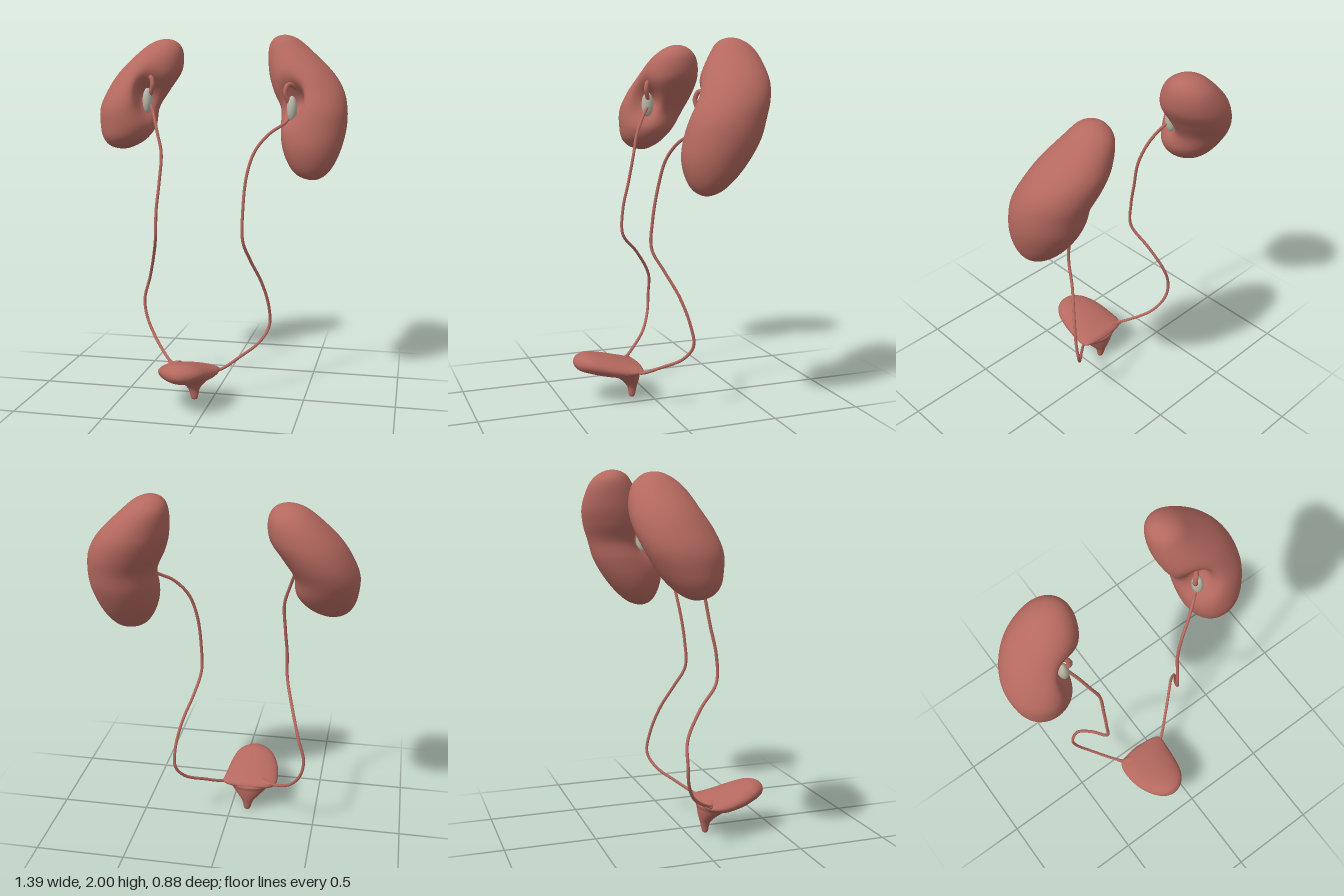
import * as THREE from 'three';
import { mergeVertices } from 'three/addons/utils/BufferGeometryUtils.js';

const flesh = new THREE.MeshStandardMaterial({ color: 0xb5695f });
const pale = new THREE.MeshStandardMaterial({ color: 0xb8b8a8 });

// Closed smooth skin through elliptical stations [s, x0, x1, b0, b1] rising along the axis.
// b is z for axis 'y' and y for axis 'z'; the first and last stations are poles.
function loft(stations, axis, deform, rings = 64, sides = 64) {
  const mid = stations.map(([s, x0, x1, b0, b1]) => new THREE.Vector3((x0 + x1) / 2, (b0 + b1) / 2, s));
  const rad = stations.map(([, x0, x1, b0, b1]) => new THREE.Vector3((x1 - x0) / 2, (b1 - b0) / 2, 0));
  // mirrored stations beyond both poles make the ends round
  const n = stations.length;
  const midCurve = new THREE.CatmullRomCurve3([mid[1], ...mid, mid[n - 2]], false, 'catmullrom');
  const radCurve = new THREE.CatmullRomCurve3(
    [rad[1].clone().negate(), ...rad, rad[n - 2].clone().negate()], false, 'catmullrom');
  const positions = [], index = [];
  const sign = axis === 'y' ? -1 : 1;
  for (let i = 0; i <= rings; i++) {
    const u = (1 + (i / rings) * (n - 1)) / (n + 1);
    const c = midCurve.getPoint(u), r = radCurve.getPoint(u);
    for (let j = 0; j < sides; j++) {
      const t = (j / sides) * Math.PI * 2;
      const x = c.x + r.x * Math.cos(t), b = c.y + sign * r.y * Math.sin(t);
      const p = axis === 'y' ? new THREE.Vector3(x, c.z, b) : new THREE.Vector3(x, b, c.z);
      if (deform) deform(p);
      positions.push(p.x, p.y, p.z);
      if (i < rings) {
        const k = (j + 1) % sides, a = i * sides, d = a + sides;
        index.push(a + j, a + k, d + j, a + k, d + k, d + j);
      }
    }
  }
  let geometry = new THREE.BufferGeometry();
  geometry.setAttribute('position', new THREE.Float32BufferAttribute(positions, 3));
  geometry.setIndex(index);
  geometry = mergeVertices(geometry, 1e-5);
  geometry.computeVertexNormals();
  return geometry;
}

// Pushes the surface inward around the hilum; side is +1 for the left kidney.
function hilumDent(center, side) {
  const inward = new THREE.Vector3(side, 0, -1).normalize();
  return (p) => {
    const dx = p.x - center[0], dy = p.y - center[1], dz = p.z - center[2];
    const f = Math.exp(-(dx * dx + dz * dz) / 0.0056 - (dy * dy) / 0.0095);
    p.addScaledVector(inward, 0.12 * f);
  };
}

function add(group, name, geometry, material = flesh) {
  const mesh = new THREE.Mesh(geometry, material);
  mesh.name = name;
  group.add(mesh);
  return mesh;
}

function tube(points, radius, segments = 120) {
  const curve = new THREE.CatmullRomCurve3(points.map((p) => new THREE.Vector3(...p)));
  return new THREE.TubeGeometry(curve, segments, radius, 10);
}

const sidesData = {
  left: {
    side: 1,
    hilum: [0.375, 1.64, -0.065],
    kidney: [
      [1.22, 0.52, 0.52, -0.08, -0.08], [1.245, 0.435, 0.585, -0.16, -0.02],
      [1.31, 0.38, 0.635, -0.235, 0.02], [1.4, 0.345, 0.67, -0.305, 0.04],
      [1.5, 0.33, 0.69, -0.36, 0.03], [1.6, 0.325, 0.69, -0.39, 0.005],
      [1.7, 0.28, 0.665, -0.425, -0.04], [1.8, 0.25, 0.6, -0.44, -0.09],
      [1.92, 0.242, 0.475, -0.415, -0.17], [1.98, 0.27, 0.4, -0.36, -0.22],
      [2.0, 0.33, 0.33, -0.29, -0.29],
    ],
    ureter: [
      [0.4, 1.58, -0.11], [0.37, 1.53, -0.08], [0.29, 1.47, -0.02], [0.22, 1.38, 0.02],
      [0.18, 1.25, 0.045], [0.165, 1.05, 0.075], [0.167, 0.9, 0.08], [0.2, 0.78, 0.02],
      [0.25, 0.65, -0.045], [0.285, 0.5, -0.095], [0.285, 0.38, -0.115],
      [0.24, 0.3, -0.075], [0.14, 0.23, 0.02], [0.05, 0.18, 0.1], [0.0, 0.18, 0.13],
    ],
  },
  right: {
    side: -1,
    hilum: [-0.385, 1.68, -0.07],
    kidney: [
      [1.368, -0.56, -0.56, -0.12, -0.12], [1.385, -0.63, -0.49, -0.18, -0.05],
      [1.43, -0.67, -0.42, -0.24, 0.0], [1.5, -0.69, -0.375, -0.3, 0.02],
      [1.6, -0.695, -0.365, -0.36, 0.02], [1.7, -0.66, -0.31, -0.4, -0.01],
      [1.8, -0.6, -0.25, -0.41, -0.06], [1.9, -0.5, -0.243, -0.385, -0.12],
      [1.96, -0.42, -0.275, -0.33, -0.19], [1.98, -0.34, -0.34, -0.26, -0.26],
    ],
    ureter: [
      [-0.4, 1.64, -0.11], [-0.365, 1.57, -0.06], [-0.33, 1.47, -0.01], [-0.3, 1.36, 0.02],
      [-0.305, 1.2, 0.05], [-0.315, 1.05, 0.08], [-0.32, 0.9, 0.08], [-0.36, 0.78, -0.02],
      [-0.41, 0.63, -0.11], [-0.445, 0.5, -0.12], [-0.43, 0.4, -0.11],
      [-0.37, 0.3, -0.06], [-0.26, 0.21, 0.06], [-0.21, 0.19, 0.11],
    ],
  },
};

export function createModel() {
  const model = new THREE.Group();
  model.name = 'urinarySystem';

  for (const [label, { side, hilum, kidney, ureter }] of Object.entries(sidesData)) {
    const group = new THREE.Group();
    group.name = label + 'Side';
    model.add(group);
    const [hx, hy, hz] = hilum;

    add(group, label + 'Kidney', loft(kidney, 'y', hilumDent(hilum, side), 80, 72));

    // pale funnel sitting in the hilum
    const pelvis = add(group, label + 'RenalPelvis', new THREE.SphereGeometry(1, 24, 16), pale);
    pelvis.scale.set(0.028, 0.07, 0.035);
    pelvis.position.set(hx + side * 0.025, hy - 0.04, hz - 0.035);

    // short vessel curling out above the pelvis
    add(group, label + 'Vessel', tube([
      [hx + side * 0.06, hy + 0.06, hz - 0.09], [hx + side * 0.005, hy + 0.09, hz - 0.03],
      [hx - side * 0.01, hy + 0.05, hz - 0.015], [hx + side * 0.015, hy - 0.02, hz - 0.035],
    ], 0.013, 30));

    add(group, label + 'Ureter', tube(ureter, 0.0085));
  }

  // flattened bladder body reaching forward
  const bladder = new THREE.Group();
  bladder.name = 'bladder';
  model.add(bladder);
  add(bladder, 'bladderBody', loft([
    [0.06, -0.1, -0.1, 0.18, 0.18], [0.075, -0.225, 0.02, 0.162, 0.202],
    [0.11, -0.26, 0.048, 0.145, 0.215], [0.18, -0.268, 0.043, 0.13, 0.236],
    [0.28, -0.255, 0.03, 0.145, 0.264], [0.36, -0.222, 0.008, 0.168, 0.28],
    [0.41, -0.182, -0.027, 0.186, 0.274], [0.435, -0.143, -0.067, 0.208, 0.255],
    [0.443, -0.105, -0.105, 0.23, 0.23],
  ], 'z'));

  // funnel narrowing down to the outlet
  add(bladder, 'bladderNeck', loft([
    [0.004, -0.097, -0.097, 0.105, 0.105], [0.005, -0.114, -0.08, 0.09, 0.12],
    [0.06, -0.133, -0.067, 0.076, 0.132], [0.1, -0.168, -0.038, 0.066, 0.165],
    [0.145, -0.215, 0.003, 0.06, 0.23], [0.18, -0.25, 0.038, 0.062, 0.28],
    [0.2, -0.1, -0.1, 0.15, 0.15],
  ], 'y'));

  // small horns where the ureters enter
  for (const [x, y, z, tip] of [[-0.225, 0.19, 0.09, -1], [0.015, 0.18, 0.115, 1]]) {
    const horn = add(bladder, 'ureterHorn', new THREE.ConeGeometry(0.032, 0.09, 20));
    horn.position.set(x, y, z);
    horn.quaternion.setFromUnitVectors(
      new THREE.Vector3(0, 1, 0), new THREE.Vector3(tip, 0.15, -0.5).normalize());
  }
  return model;
}
